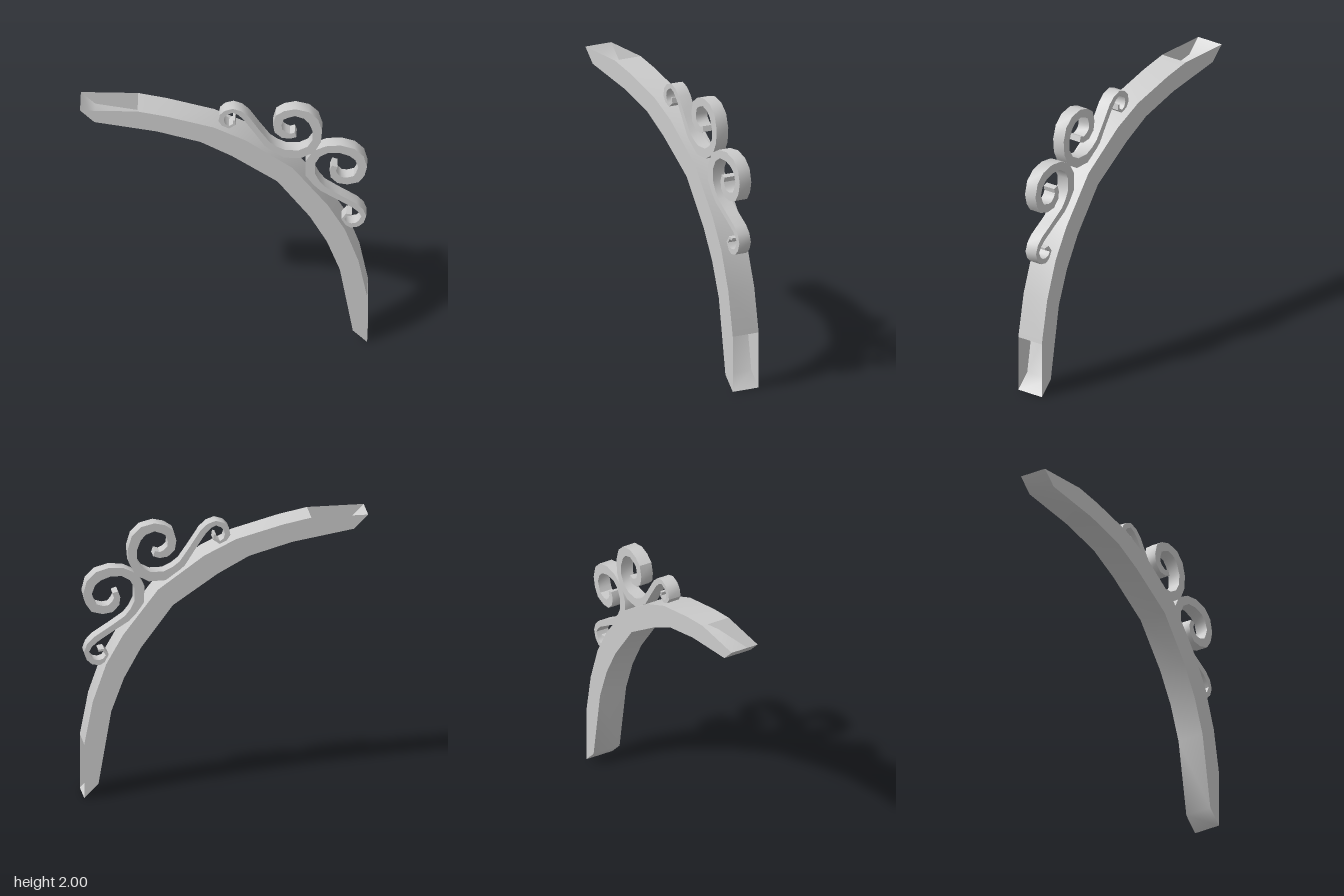
import * as THREE from 'three';
import { toCreasedNormals } from 'three/addons/utils/BufferGeometryUtils.js';

const material = new THREE.MeshStandardMaterial({ color: 0xcccccc, side: THREE.DoubleSide });
const BEAM_HALF = 0.105;
const SCROLL_HALF = 0.047;
const CREASE = 0.7;

const vectors = (pairs) => pairs.map(([x, y]) => new THREE.Vector2(x, y));

function addMesh(parent, name, geometry) {
  const mesh = new THREE.Mesh(geometry, material);
  mesh.name = name;
  parent.add(mesh);
  return mesh;
}

// Ribbon that follows a path in the xy plane and spans the depth in z
function ribbon(path, half) {
  const n = path.length;
  const geometry = new THREE.PlaneGeometry(1, 1, n - 1, 1);
  const pos = geometry.attributes.position;
  for (let i = 0; i < pos.count; i++) {
    const p = path[i % n];
    pos.setXYZ(i, p.x, p.y, i < n ? -half : half);
  }
  geometry.computeVertexNormals();
  return toCreasedNormals(geometry, CREASE);
}

// Closed outline around a centre line of [x, y, half width] points
function strokeShape(line) {
  const left = [], right = [];
  line.forEach(([x, y, w], i) => {
    const a = line[Math.max(i - 1, 0)];
    const b = line[Math.min(i + 1, line.length - 1)];
    const normal = new THREE.Vector2(a[1] - b[1], b[0] - a[0]).normalize();
    left.push(new THREE.Vector2(x + normal.x * w, y + normal.y * w));
    right.push(new THREE.Vector2(x - normal.x * w, y - normal.y * w));
  });
  return new THREE.Shape([...left, ...right.reverse()]);
}

function scroll(line) {
  const geometry = new THREE.ExtrudeGeometry(strokeShape(line), {
    depth: SCROLL_HALF * 2, bevelEnabled: false, steps: 1,
  });
  geometry.translate(0, 0, -SCROLL_HALF);
  return toCreasedNormals(geometry, CREASE);
}

export function createModel() {
  const group = new THREE.Group();
  group.name = 'curvedBracket';

  // Curved beam: outer edge from the upper tip to the lower tip, and inner edge
  const outer = vectors([
    [-1, 2], [-0.6, 2], [-0.4, 1.96], [-0.07, 1.87], [0.155, 1.76], [0.48, 1.525],
    [0.727, 1.2], [0.845, 0.99], [0.94, 0.715], [1, 0.4], [1, 0],
  ]);
  const inner = vectors([
    [-0.9, 1.9], [-0.465, 1.827], [-0.16, 1.74], [0.06, 1.62], [0.375, 1.404],
    [0.6, 1.1], [0.72, 0.88], [0.81, 0.635], [0.9, 0.1],
  ]);
  const beam = new THREE.Group();
  beam.name = 'beam';
  group.add(beam);

  const side = new THREE.ShapeGeometry(new THREE.Shape([...outer, ...[...inner].reverse()]));
  addMesh(beam, 'beamFront', side).position.z = BEAM_HALF;
  const back = addMesh(beam, 'beamBack', side.clone().rotateY(Math.PI).scale(-1, 1, 1));
  back.geometry.index.array.reverse();
  back.position.z = -BEAM_HALF;

  // The outer face stops short of both tips, leaving the hollow ends open
  addMesh(beam, 'beamOuterFace', ribbon(outer.slice(1, -1), BEAM_HALF));
  // The inner face includes the slanted cuts at both tips
  const underside = [outer[outer.length - 1], ...[...inner].reverse(), outer[0]];
  addMesh(beam, 'beamInnerFace', ribbon(underside, BEAM_HALF));

  // Scroll: small curl, S-shaped stem, large curl
  const upperLine = [
    [0.07, 1.89, 0.008], [0.075, 1.857, 0.01], [0.037, 1.829, 0.01], [0, 1.847, 0.014],
    [-0.019, 1.885, 0.019], [-0.011, 1.928, 0.019], [0.016, 1.957, 0.019],
    [0.064, 1.975, 0.017], [0.112, 1.955, 0.02], [0.155, 1.912, 0.022],
    [0.23, 1.797, 0.021], [0.3, 1.69, 0.024], [0.353, 1.644, 0.027],
    [0.422, 1.603, 0.034], [0.529, 1.602, 0.035], [0.607, 1.645, 0.034],
    [0.647, 1.72, 0.03], [0.652, 1.81, 0.033], [0.625, 1.893, 0.036],
    [0.575, 1.945, 0.034], [0.497, 1.968, 0.03], [0.433, 1.95, 0.032],
    [0.39, 1.922, 0.032], [0.372, 1.858, 0.03], [0.38, 1.805, 0.03],
    [0.417, 1.77, 0.029], [0.46, 1.759, 0.022], [0.5, 1.772, 0.02],
  ];
  // The lower scroll mirrors the upper one across the bracket's diagonal
  const lowerLine = upperLine.map(([x, y, w]) => [y - 1, x + 1, w]);
  addMesh(group, 'upperScroll', scroll(upperLine));
  addMesh(group, 'lowerScroll', scroll(lowerLine));

  return group;
}
